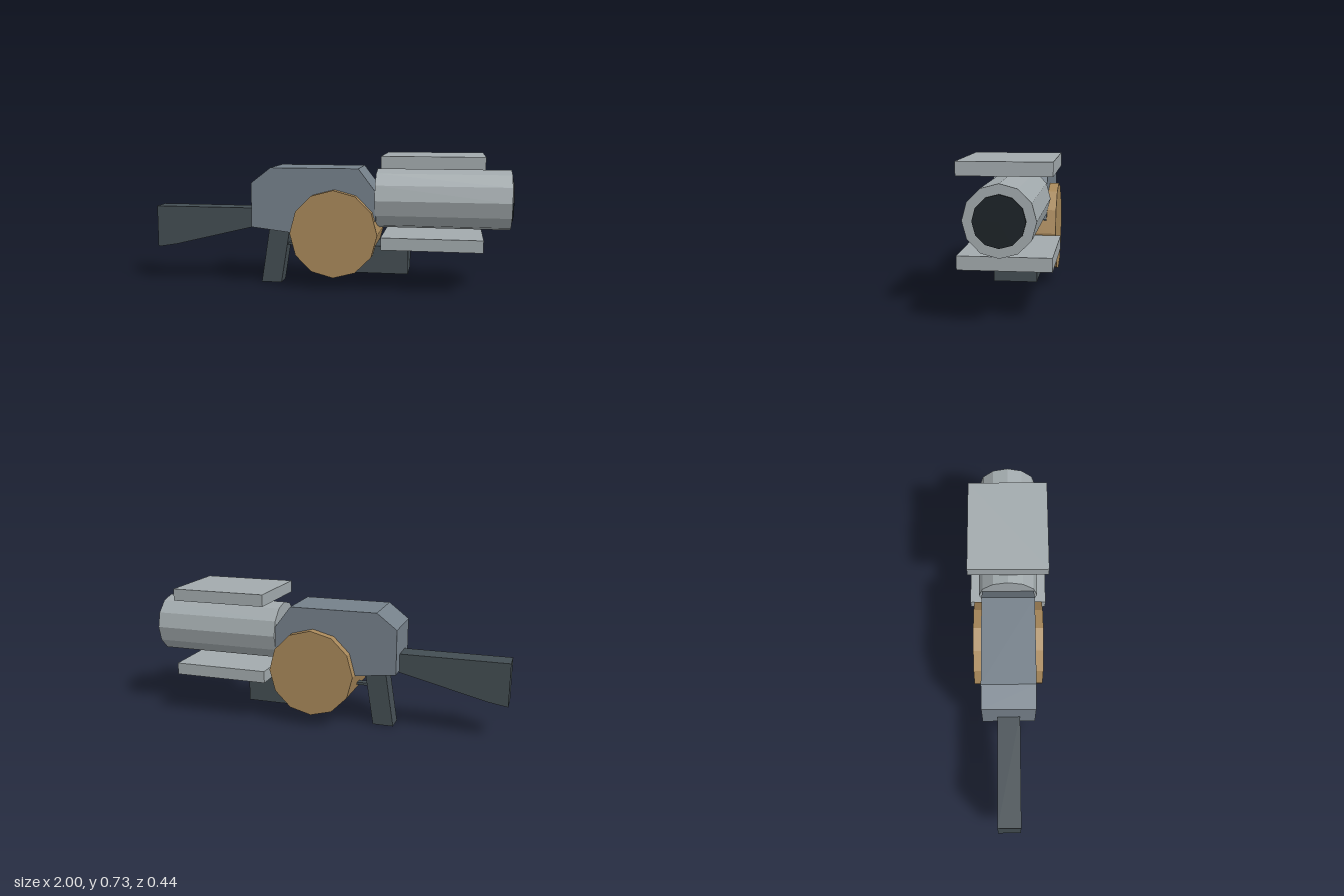
import * as THREE from 'three';

const paint = (color) => new THREE.MeshStandardMaterial({ color, flatShading: true });

export function createModel() {
  const group = new THREE.Group();
  const steel = paint(0x75808a);
  const light = paint(0xa2aaad);
  const dark = paint(0x434d52);
  const brass = paint(0xa8885a);
  const black = paint(0x1c2227);

  const add = (name, geometry, material, x = 0, y = 0, z = 0) => {
    const mesh = new THREE.Mesh(geometry, material);
    mesh.name = name;
    mesh.position.set(x, y, z);
    group.add(mesh);
    return mesh;
  };

  // side profile in x, y extruded symmetrically across z
  const slab = (name, points, width, material) => {
    const shape = new THREE.Shape(points.map(([x, y]) => new THREE.Vector2(x, y)));
    const geometry = new THREE.ExtrudeGeometry(shape, { depth: width, bevelEnabled: false });
    return add(name, geometry.translate(0, 0, -width / 2), material);
  };

  // box given by its x and y limits
  const box = (name, x0, x1, y0, y1, width, material) =>
    add(name, new THREE.BoxGeometry(x1 - x0, y1 - y0, width), material, (x0 + x1) / 2, (y0 + y1) / 2);

  // twelve-sided cylinder along x
  const tube = (name, x0, x1, y, radius, material) =>
    add(name, new THREE.CylinderGeometry(radius, radius, x1 - x0, 12).rotateZ(-Math.PI / 2),
      material, (x0 + x1) / 2, y);

  // body with chamfered corners
  slab('receiver', [[-0.415, 0.33], [-0.415, 0.575], [-0.305, 0.66], [0.18, 0.66],
    [0.275, 0.535], [0.275, 0.38], [0.18, 0.26]], 0.286, steel);

  // shoulder stock and pistol grip
  slab('stock', [[-1, 0.187], [-1, 0.425], [-0.4, 0.425], [-0.4, 0.325], [-0.89, 0.205]], 0.122, dark);
  slab('grip', [[-0.385, 0], [-0.332, 0.34], [-0.215, 0.34], [-0.27, 0]], 0.1, dark);
  box('trigger', -0.25, -0.1, 0.213, 0.227, 0.04, dark);

  // drum across the body
  add('drum', new THREE.CylinderGeometry(0.239, 0.239, 0.382, 12).rotateX(Math.PI / 2), brass, 0.05, 0.307);

  // barrel with dark bore
  tube('barrel', 0.27, 0.99, 0.49, 0.163, light);
  tube('bore', 0.97, 1, 0.49, 0.118, black);

  // plates above and below the barrel
  box('upperPlate', 0.31, 0.845, 0.667, 0.733, 0.44, light);
  box('lowerPlate', 0.31, 0.845, 0.236, 0.302, 0.44, light);

  // block ahead of the drum
  box('foregrip', 0.07, 0.45, 0.087, 0.238, 0.22, dark);

  return group;
}
